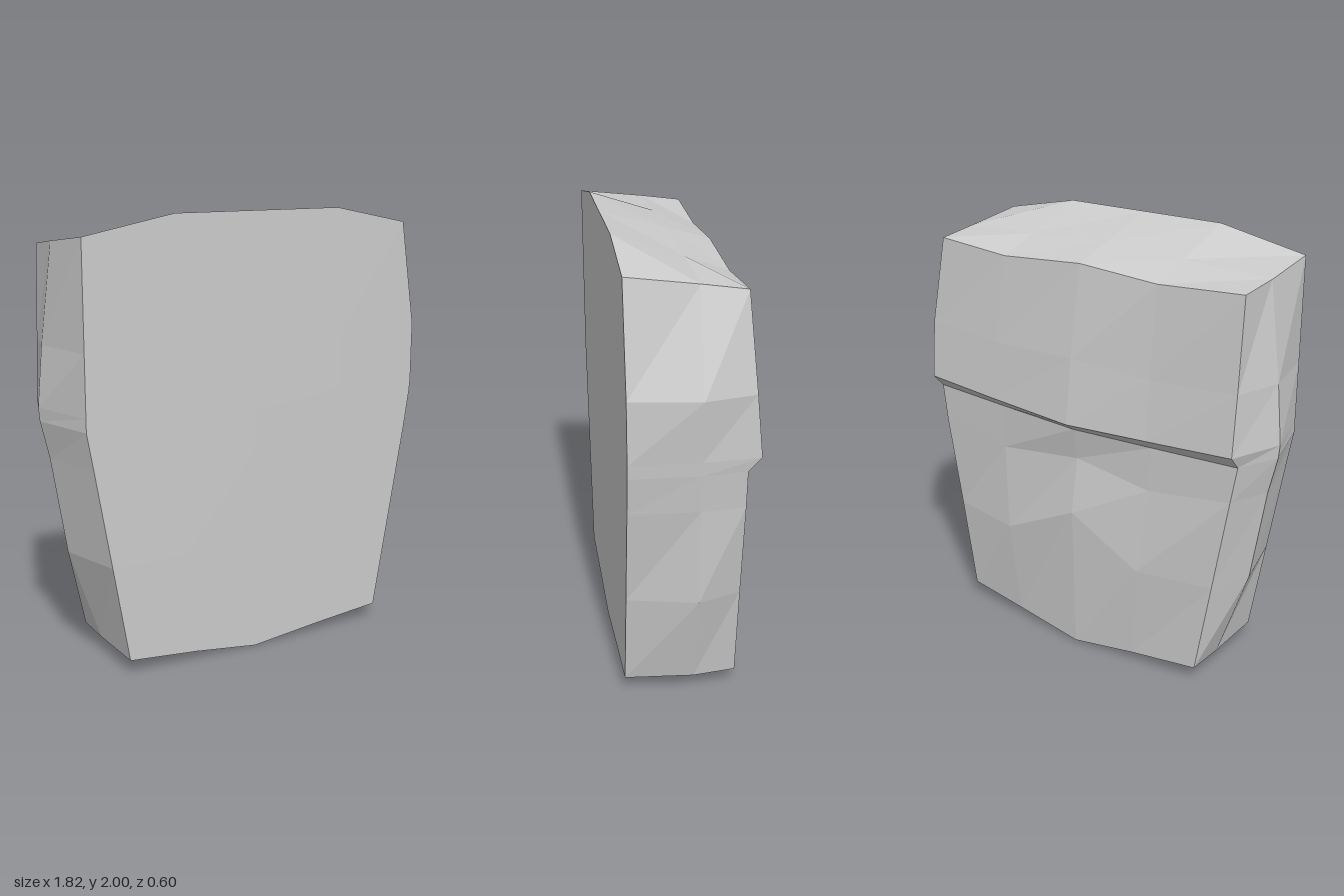
import * as THREE from 'three';

// Rows run from top to bottom. Left/right: x of the side at front, middle and back.
// y and z: heights and depths of the five columns across the back.
const rows = [
  { left: [-0.82, -0.83, -0.82], right: [0.785, 0.79, 0.80], y: [1.86, 1.835, 1.86, 1.83, 1.86], z: [-0.19, -0.19, -0.19, -0.19, -0.19] },
  { left: [-0.82, -0.885, -0.82], right: [0.86, 0.905, 0.86], y: [1.45, 1.43, 1.45, 1.43, 1.45], z: [-0.22, -0.235, -0.26, -0.235, -0.22] },
  { left: [-0.82, -0.91, -0.82], right: [0.86, 0.875, 0.86], y: [1.18, 1.16, 1.15, 1.16, 1.18], z: [-0.245, -0.265, -0.30, -0.265, -0.245] },
  { left: [-0.82, -0.905, -0.82], right: [0.855, 0.87, 0.855], y: [1.12, 1.11, 1.11, 1.11, 1.12], z: [-0.19, -0.21, -0.245, -0.21, -0.19] },
  { left: [-0.79, -0.865, -0.79], right: [0.83, 0.85, 0.835], y: [0.95, 0.90, 0.96, 0.90, 0.95], z: [-0.19, -0.21, -0.22, -0.21, -0.19] },
  { left: [-0.715, -0.795, -0.715], right: [0.755, 0.825, 0.76], y: [0.51, 0.50, 0.70, 0.50, 0.51], z: [-0.19, -0.245, -0.265, -0.245, -0.19] },
  { left: [-0.64, -0.645, -0.64], right: [0.68, 0.71, 0.69], y: [0.07, 0.04, 0.005, 0.04, 0.07], z: [-0.19, -0.215, -0.245, -0.215, -0.19] },
];
const topFront = [1.92, 2, 2, 2, 1.925];
const bottomFront = [0.07, 0.04, 0, 0.04, 0.07];
const spread = [1, 0.49, 0, 0.53, 1];

// Place one lattice point: column, row, and layer (0 front, 1 middle, 2 back)
function place(col, row, layer) {
  const r = rows[row];
  const x = spread[col] * (col < 2 ? r.left[layer] : r.right[layer]);
  const frontY = row === 0 ? topFront[col] : row === 6 ? bottomFront[col] : r.y[0];
  const y = THREE.MathUtils.lerp(frontY, r.y[col], [0, 0.6, 1][layer]);
  const z = [0.3, 0, r.z[col]][layer];
  return [x, y, z];
}

export function createModel() {
  const group = new THREE.Group();
  group.name = 'slab';

  // Subdivided box reshaped into a faceted slab with a flat front and ridged back
  const geometry = new THREE.BoxGeometry(4, 6, 2, 4, 6, 2);
  const pos = geometry.attributes.position;
  for (let i = 0; i < pos.count; i++) {
    const col = Math.round(pos.getX(i) + 2);
    const row = Math.round(3 - pos.getY(i));
    const layer = Math.round(1 - pos.getZ(i));
    pos.setXYZ(i, ...place(col, row, layer));
  }
  geometry.computeVertexNormals();

  const material = new THREE.MeshStandardMaterial({ color: 0xcccccc, flatShading: true });
  const body = new THREE.Mesh(geometry, material);
  body.name = 'slabBody';
  group.add(body);
  return group;
}
